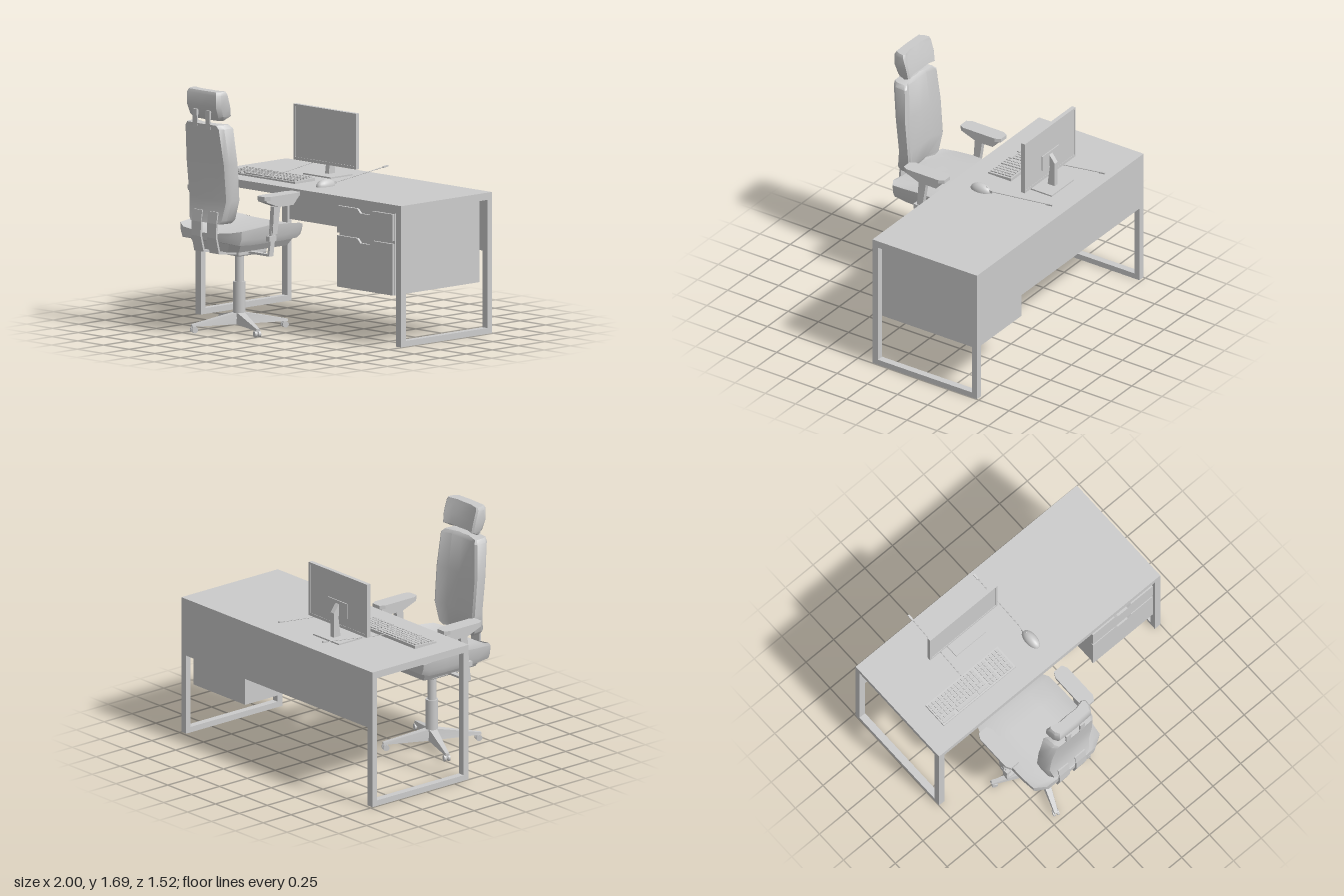
import * as THREE from 'three';
import { mergeGeometries, toCreasedNormals } from 'three/addons/utils/BufferGeometryUtils.js';
import { RoundedBoxGeometry } from 'three/addons/geometries/RoundedBoxGeometry.js';

const grey = new THREE.MeshStandardMaterial({ color: 0xcccccc });

function add(parent, name, geometry) {
  const mesh = new THREE.Mesh(geometry, grey);
  mesh.name = name;
  parent.add(mesh);
  return mesh;
}

function group(parent, name) {
  const g = new THREE.Group();
  g.name = name;
  if (parent) parent.add(g);
  return g;
}

// Box given by its minimum and maximum on each axis
function box(x0, x1, y0, y1, z0, z1) {
  return new THREE.BoxGeometry(x1 - x0, y1 - y0, z1 - z0)
    .translate((x0 + x1) / 2, (y0 + y1) / 2, (z0 + z1) / 2);
}

const shapeOf = pts => new THREE.Shape(pts.map(p => new THREE.Vector2(...p)));

// Side profile of (z, y) points extruded across x, centred on cx
function profile(pts, width, cx, hole) {
  const shape = shapeOf(pts);
  if (hole) shape.holes.push(shapeOf(hole));
  return new THREE.ExtrudeGeometry(shape, { depth: width, bevelEnabled: false })
    .rotateY(-Math.PI / 2).translate(cx + width / 2, 0, 0);
}

// Solid skin through closed rings of [x, y, z] points, capped at both ends
function loft(rings, crease = 0.5) {
  const n = rings[0].length, pts = rings.flat(), idx = [];
  for (let r = 0; r < rings.length - 1; r++) {
    for (let i = 0; i < n; i++) {
      const a = r * n + i, b = r * n + (i + 1) % n;
      idx.push(a, b, b + n, a, b + n, a + n);
    }
  }
  [0, rings.length - 1].forEach((r, end) => {
    const mid = [0, 1, 2].map(k => rings[r].reduce((s, p) => s + p[k], 0) / n);
    pts.push(mid);
    for (let i = 0; i < n; i++) {
      const a = r * n + i, b = r * n + (i + 1) % n;
      idx.push(pts.length - 1, ...(end ? [a, b] : [b, a]));
    }
  });
  // Turn the faces outward if the enclosed volume is negative
  const v = pts.map(p => new THREE.Vector3(...p));
  let volume = 0;
  for (let i = 0; i < idx.length; i += 3) {
    volume += v[idx[i]].dot(v[idx[i + 1]].clone().cross(v[idx[i + 2]]));
  }
  if (volume < 0) idx.reverse();
  const g = new THREE.BufferGeometry().setFromPoints(v);
  g.setIndex(idx);
  return toCreasedNormals(g, crease);
}

function buildDesk(root) {
  const desk = group(root, 'desk');
  add(desk, 'deskTop', box(-0.95, 0.95, 0.93, 0.985, -0.735, 0.13));
  add(desk, 'modestyPanel', box(-0.95, 0.95, 0.575, 0.93, -0.735, -0.715));
  for (const s of [-1, 1]) {
    add(desk, 'legFrame', profile(
      [[-0.735, 0.01], [0.13, 0.01], [0.13, 0.985], [-0.735, 0.985]], 0.05, s * 0.975,
      [[-0.695, 0.05], [0.085, 0.05], [0.085, 0.935], [-0.695, 0.935]]));
    add(desk, 'sidePanel', box(s * 0.975 - 0.025, s * 0.975 + 0.025, 0.575, 0.935, -0.735, -0.695));
  }
  // Drawer cabinet with notched fronts
  add(desk, 'cabinet', box(0.39, 0.93, 0.36, 0.93, -0.685, 0.12));
  for (const [y0, y1] of [[0.36, 0.715], [0.735, 0.92]]) {
    const front = shapeOf([[0.385, y0], [0.925, y0], [0.925, y1], [0.73, y1], [0.7, y1 - 0.03],
      [0.61, y1 - 0.03], [0.58, y1], [0.385, y1]]);
    add(desk, 'drawerFront', new THREE.ExtrudeGeometry(front, { depth: 0.018, bevelEnabled: false })
      .translate(0, 0, 0.12));
  }
}

function buildMonitor(root) {
  const monitor = group(root, 'monitor');
  const rim = shapeOf([[-0.605, 1.06], [0.005, 1.06], [0.005, 1.445], [-0.605, 1.445]]);
  rim.holes.push(shapeOf([[-0.59, 1.08], [-0.01, 1.08], [-0.01, 1.43], [-0.59, 1.43]]));
  add(monitor, 'bezel', new THREE.ExtrudeGeometry(rim, { depth: 0.03, bevelEnabled: false })
    .translate(0, 0, -0.445));
  add(monitor, 'screen', box(-0.595, -0.005, 1.07, 1.435, -0.443, -0.419));
  add(monitor, 'backPlate', box(-0.4, -0.2, 1.14, 1.25, -0.45, -0.44));
  add(monitor, 'neck', profile([[-0.435, 0.99], [-0.495, 0.99], [-0.495, 1.17], [-0.445, 1.235],
    [-0.445, 1.15], [-0.455, 1.14]], 0.036, -0.3));
  add(monitor, 'standBase', box(-0.435, -0.165, 0.985, 0.995, -0.55, -0.34));
}

function cable(parent, x, z0, z1, y1) {
  const from = new THREE.Vector3(x, 1.0, z0), to = new THREE.Vector3(x, y1, z1);
  add(parent, 'cable', new THREE.TubeGeometry(new THREE.LineCurve3(from, to), 1, 0.003, 6));
  const plug = add(parent, 'plug', new THREE.BoxGeometry(0.014, 0.01, 0.045));
  plug.position.copy(to);
  plug.lookAt(from);
}

function buildInputDevices(root) {
  const keyboard = group(root, 'keyboard');
  add(keyboard, 'keyboardBase', profile([[-0.015, 0.985], [-0.205, 0.985], [-0.205, 1.007],
    [-0.015, 0.997]], 0.65, -0.505));
  // Key blocks: first x, column count
  const keys = [];
  for (let row = 0; row < 6; row++) {
    const z = -0.182 + row * 0.029, y = 1.008 - row * 0.0016;
    for (const [x0, count] of [[-0.808, 14], [-0.388, 3], [-0.292, 4]]) {
      if (row === 5 && count === 14) {
        for (const [x, w] of [[-0.768, 0.1], [-0.6, 0.18], [-0.455, 0.09]]) {
          keys.push(new THREE.BoxGeometry(w, 0.014, 0.022).translate(x, y, z));
        }
        continue;
      }
      for (let c = 0; c < count; c++) {
        keys.push(new THREE.BoxGeometry(0.022, 0.014, 0.022).translate(x0 + c * 0.029, y, z));
      }
    }
  }
  add(keyboard, 'keys', mergeGeometries(keys));
  cable(keyboard, -0.505, -0.2, -0.735, 1.073);

  const mouse = group(root, 'mouse');
  add(mouse, 'mouseBody', new THREE.SphereGeometry(1, 20, 8, 0, Math.PI * 2, 0, Math.PI / 2)
    .scale(0.042, 0.05, 0.082).translate(0.03, 0.985, -0.1));
  add(mouse, 'scrollWheel', new THREE.CylinderGeometry(0.011, 0.011, 0.008, 12)
    .rotateZ(Math.PI / 2).translate(0.03, 1.018, -0.145));
  add(mouse, 'strainRelief', box(0.022, 0.038, 0.99, 1.01, -0.195, -0.17));
  cable(mouse, 0.03, -0.19, -0.67, 1.056);
}

function buildChairBase(chair) {
  const base = group(chair, 'chairBase');
  base.position.z = 0.39;
  add(base, 'lowerColumn', new THREE.CylinderGeometry(0.043, 0.043, 0.285, 16).translate(0, 0.2025, 0));
  add(base, 'upperColumn', new THREE.CylinderGeometry(0.031, 0.031, 0.22, 16).translate(0, 0.45, 0));
  for (let k = 0; k < 4; k++) {
    const leg = group(base, 'baseLeg');
    leg.rotation.y = -0.4 + k * Math.PI / 2;
    add(leg, 'spoke', loft([[0.02, 0.035, 0.055, 0.135], [0.35, 0.015, 0.052, 0.067]].map(
      ([x, w, y0, y1]) => [[x, y0, -w], [x, y0, w], [x, y1, w * 0.8], [x, y1, -w * 0.8]])));
    for (const s of [-1, 1]) {
      add(leg, 'casterWheel', new THREE.CylinderGeometry(0.022, 0.022, 0.016, 14)
        .rotateX(Math.PI / 2).translate(0.332, 0.03, s * 0.014));
    }
    add(leg, 'casterStem', box(0.32, 0.344, 0.03, 0.06, -0.008, 0.008));
  }
}

// Cushion slice with raised side wings
const seatRing = ([z, w, y0, y1, dip]) => [[-0.92, y0], [0.92, y0], [0.98, y0 + 0.04], [1, y1],
  [0.8, y1 - dip * 0.7], [0.4, y1 - dip], [-0.4, y1 - dip], [-0.8, y1 - dip * 0.7], [-1, y1],
  [-0.98, y0 + 0.04]].map(([u, y]) => [u * w, y, z]);

// Upholstered slice: flat rear, sides wrapping forward
const backRing = wrap => ([y, w, zF, zB]) => [[-0.85, zB], [0, zB + 0.004], [0.85, zB],
  [0.97, zB - 0.03], [1, zF + 0.01], [0.92, zF], [0.55, zF + wrap], [0, zF + wrap * 0.8],
  [-0.55, zF + wrap], [-0.92, zF], [-1, zF + 0.01], [-0.97, zB - 0.03]].map(([u, z]) => [u * w, y, z]);

function buildChair(root) {
  const chair = group(root, 'chair');
  chair.position.x = -0.31;
  buildChairBase(chair);

  add(chair, 'tiltMechanism', new RoundedBoxGeometry(0.29, 0.05, 0.27, 2, 0.012).translate(0, 0.57, 0.4));
  add(chair, 'seatPan', loft([[0.59, 0.21, 0.14, 0.65], [0.655, 0.25, 0.11, 0.67]].map(
    ([y, w, z0, z1]) => [[-w, y, z0], [w, y, z0], [w, y, z1 - 0.05], [w - 0.06, y, z1],
      [0.06 - w, y, z1], [-w, y, z1 - 0.05]])));
  add(chair, 'seatCushion', loft([
    [0.71, 0.22, 0.665, 0.735, 0.02], [0.66, 0.3, 0.65, 0.75, 0.03], [0.55, 0.312, 0.645, 0.76, 0.04],
    [0.42, 0.315, 0.645, 0.77, 0.045], [0.25, 0.315, 0.645, 0.765, 0.035],
    [0.12, 0.312, 0.65, 0.755, 0.02], [0.07, 0.29, 0.665, 0.74, 0.01]].map(seatRing), 0.7));

  add(chair, 'backrest', loft([
    [0.79, 0.16, 0.615, 0.72], [0.815, 0.185, 0.602, 0.713], [0.95, 0.21, 0.585, 0.69],
    [1.2, 0.213, 0.605, 0.715], [1.45, 0.19, 0.625, 0.745], [1.475, 0.165, 0.645, 0.75]]
    .map(backRing(0.035)), 0.7));
  add(chair, 'headrest', loft([
    [1.5, 0.14, 0.675, 0.705], [1.53, 0.16, 0.618, 0.725], [1.6, 0.166, 0.63, 0.752],
    [1.68, 0.166, 0.655, 0.752], [1.703, 0.155, 0.662, 0.742]].map(backRing(0.018)), 0.7));

  for (const s of [-1, 1]) {
    add(chair, 'headrestBar', profile([[0.735, 1.44], [0.75, 1.44], [0.755, 1.5], [0.758, 1.57],
      [0.738, 1.57], [0.745, 1.5]], 0.042, s * 0.062));
    add(chair, 'backStrap', profile([[0.715, 0.87], [0.7, 0.87], [0.712, 0.79], [0.715, 0.69],
      [0.69, 0.595], [0.53, 0.575], [0.53, 0.56], [0.702, 0.58], [0.73, 0.69], [0.727, 0.79]],
      0.09, s * 0.075));

    // Armrest: pad, cradle, leaning post and collar
    const arm = group(chair, 'armrest');
    const pad = shapeOf([[-0.055, 0.22], [-0.055, 0.48], [-0.035, 0.515], [0.035, 0.515],
      [0.055, 0.48], [0.055, 0.22], [0.035, 0.18], [-0.035, 0.18]].map(([x, z]) => [s * x, -z]));
    add(arm, 'armPad', new THREE.ExtrudeGeometry(pad, { depth: 0.026, bevelEnabled: false })
      .rotateX(-Math.PI / 2).translate(s * 0.34, 0.956, 0));
    add(arm, 'armCradle', profile([[0.505, 0.957], [0.505, 0.945], [0.385, 0.9], [0.245, 0.9],
      [0.19, 0.957]], 0.08, s * 0.34));
    add(arm, 'armPostSleeve', profile([[0.42, 0.71], [0.375, 0.71], [0.345, 0.9], [0.405, 0.9]],
      0.036, s * 0.337));
    add(arm, 'armPost', profile([[0.445, 0.56], [0.405, 0.56], [0.365, 0.85], [0.405, 0.85]],
      0.02, s * 0.337));
    add(arm, 'armCollar', box(s * 0.337 - 0.018, s * 0.337 + 0.018, 0.665, 0.7, 0.385, 0.45));
  }
  add(chair, 'armCrossbar', box(-0.347, 0.347, 0.56, 0.575, 0.405, 0.445));
}

export function createModel() {
  const root = group(null, 'workstation');
  buildDesk(root);
  buildMonitor(root);
  buildInputDevices(root);
  buildChair(root);
  return root;
}
